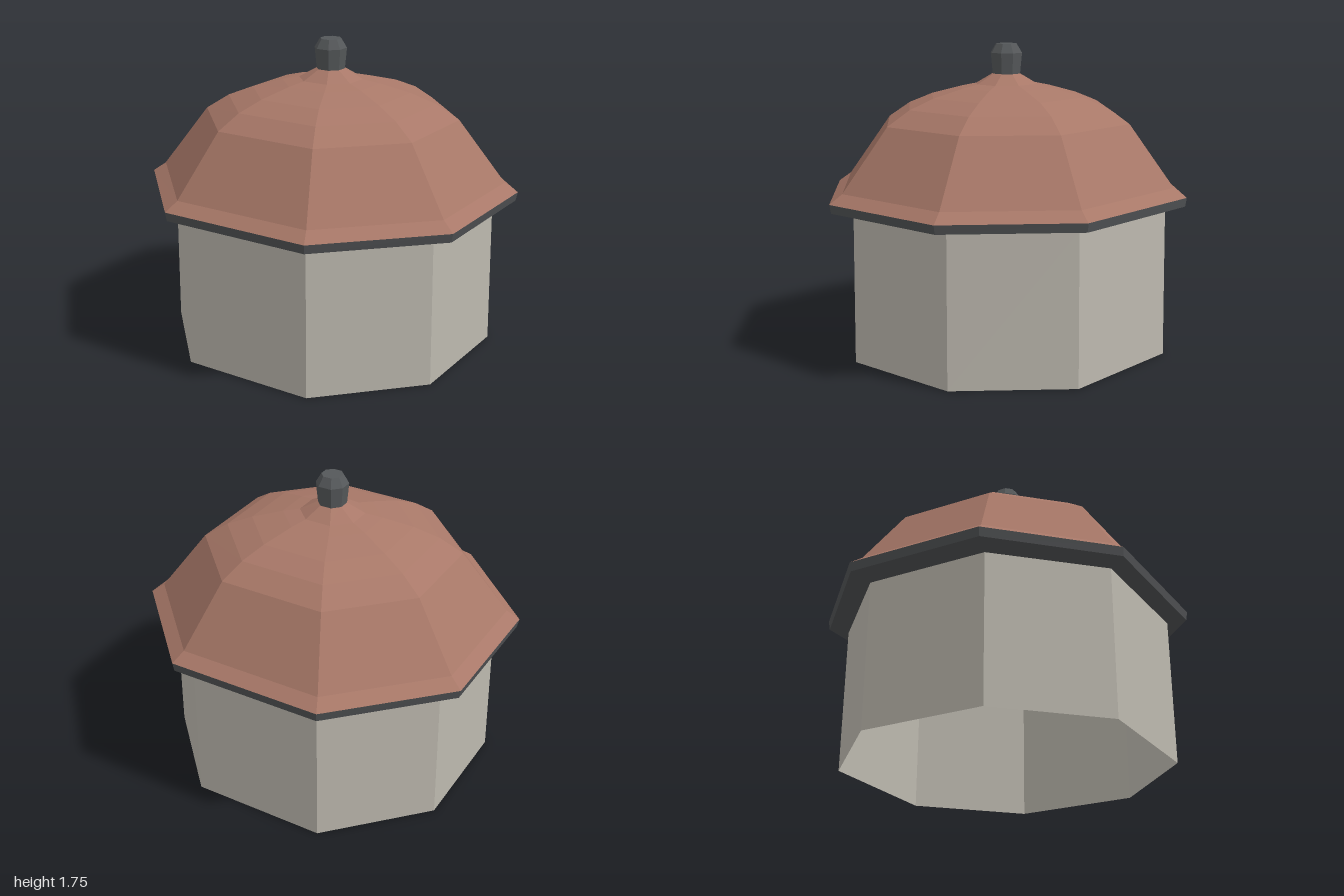
import * as THREE from 'three';

// Eight corners of a slightly stretched octagon: half width a (x), half depth c (z)
function ring(a, y, c) {
  const p = 0.45 * a, q = 0.42 * c;
  return [[a, q], [p, c], [-p, c], [-a, q], [-a, -q], [-p, -c], [p, -c], [a, -q]]
    .map(([x, z]) => new THREE.Vector3(x, y, z));
}

// Skins a bottom-to-top profile of [half width, height, half depth] rows
function loft(name, profile, color, side = THREE.FrontSide) {
  const rings = profile.map(([a, y, c]) => ring(a, y, c));
  const pos = [];
  const tri = (...pts) => pts.forEach((p) => pos.push(p.x, p.y, p.z));
  for (let r = 0; r < rings.length - 1; r++) {
    const lo = rings[r], hi = rings[r + 1];
    for (let i = 0; i < 8; i++) {
      const j = (i + 1) % 8;
      if (profile[r][0] > 0) tri(lo[i], hi[i], lo[j]);
      if (profile[r + 1][0] > 0) tri(lo[j], hi[i], hi[j]);
    }
  }
  const geo = new THREE.BufferGeometry();
  geo.setAttribute('position', new THREE.Float32BufferAttribute(pos, 3));
  geo.computeVertexNormals();
  const mesh = new THREE.Mesh(geo, new THREE.MeshStandardMaterial({ color, flatShading: true, side }));
  mesh.name = name;
  return mesh;
}

export function createModel() {
  const model = new THREE.Group();
  model.name = 'domedPavilion';

  // Open-bottomed walls
  model.add(loft('walls', [[0.872, 0, 0.85], [0.866, 0.845, 0.842]], 0xbcb8ae, THREE.DoubleSide));

  // Dark eave: sloping underside, then the fascia
  model.add(loft('eave', [
    [0.866, 0.84, 0.842], [0.99, 0.862, 0.938], [1, 0.912, 0.945],
  ], 0x505254, THREE.DoubleSide));

  // Faceted dome with flared foot and small neck
  model.add(loft('roof', [
    [1, 0.912, 0.945], [0.93, 0.965, 0.877], [0.68, 1.315, 0.648], [0.555, 1.4, 0.535],
    [0.42, 1.457, 0.41], [0.26, 1.505, 0.245], [0.17, 1.525, 0.16], [0.07, 1.585, 0.07],
  ], 0xa87868, THREE.DoubleSide));

  // Capped finial
  model.add(loft('finial', [
    [0, 1.577, 0], [0.074, 1.577, 0.074], [0.085, 1.7, 0.085], [0.056, 1.752, 0.056], [0, 1.752, 0],
  ], 0x55585a));

  return model;
}
